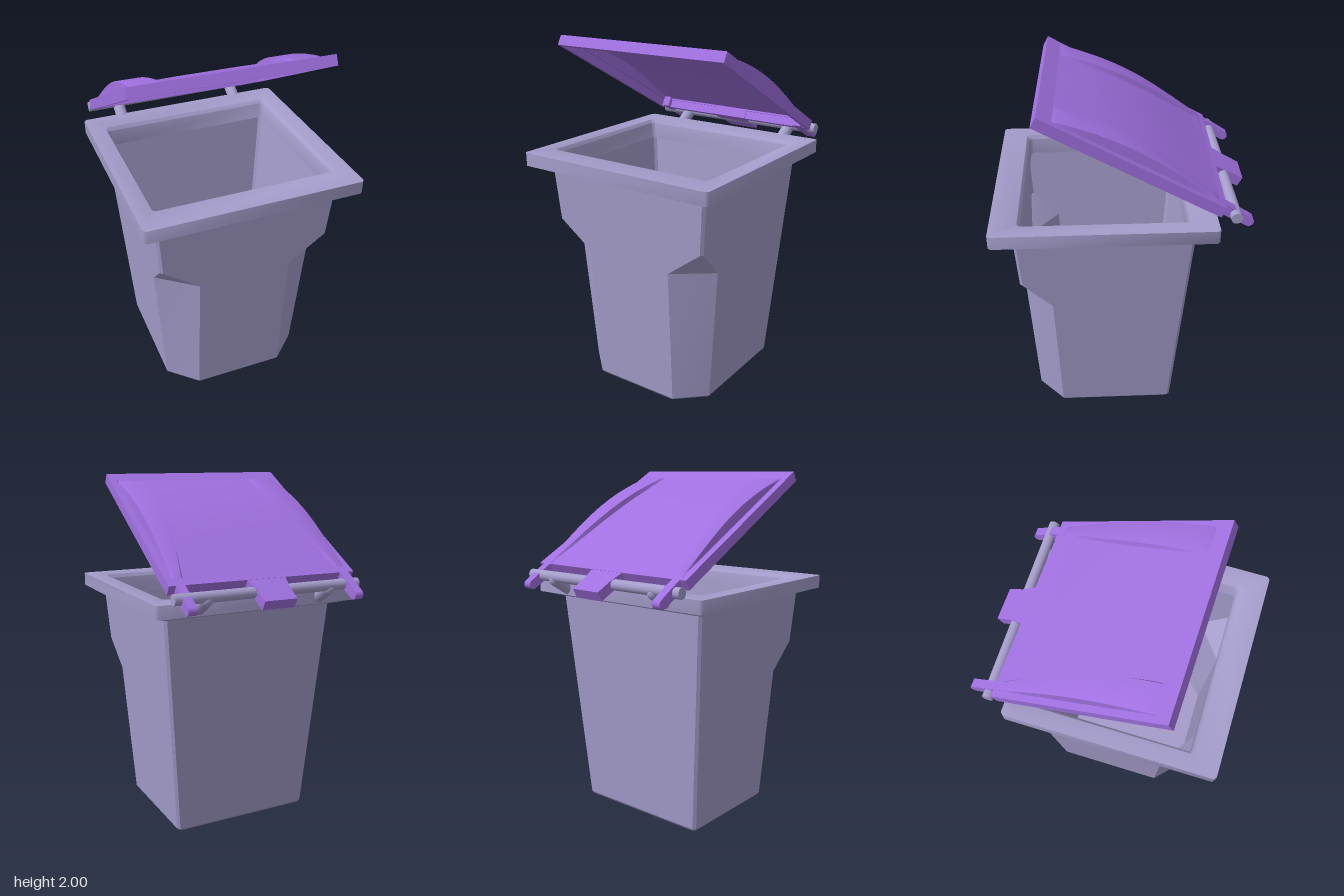
import * as THREE from 'three';
import { toCreasedNormals } from 'three/addons/utils/BufferGeometryUtils.js';
import { ConvexGeometry } from 'three/addons/geometries/ConvexGeometry.js';

const binMat = new THREE.MeshStandardMaterial({ color: 0xa59dcb });
const lidMat = new THREE.MeshStandardMaterial({ color: 0xa070e0 });
const shellMat = new THREE.MeshStandardMaterial({ color: 0xa070e0, side: THREE.DoubleSide });

function add(parent, name, geometry, material) {
  const mesh = new THREE.Mesh(geometry, material);
  mesh.name = name;
  parent.add(mesh);
  return mesh;
}

// Skin rows of points; closed joins the last column to the first
function loft(rows, closed, crease) {
  const n = rows[0].length, index = [];
  for (let r = 0; r < rows.length - 1; r++) {
    for (let i = 0; i < (closed ? n : n - 1); i++) {
      const a = r * n + i, b = r * n + (i + 1) % n;
      index.push(a, b, b + n, a, b + n, a + n);
    }
  }
  const g = new THREE.BufferGeometry();
  g.setAttribute('position', new THREE.Float32BufferAttribute(rows.flat(2), 3));
  g.setIndex(index);
  return toCreasedNormals(g, crease);
}

// Rectangular ring with cut front corners (fx, fz) and small back cuts (b)
function ring(y, hx, zb, zf, fx = 0.015, fz = fx, b = 0.015) {
  const half = [[hx - fx, zf], [hx, zf - fz], [hx, zb + b], [hx - b, zb]];
  const other = half.map(([x, z]) => [-x, z]).reverse();
  return [...half, ...other].map(([x, z]) => [x, y, z]);
}

// Tapered body section at height y, inset by o
function bodyRing(y, fx, fz, o = 0) {
  const k = y / 1.31;
  return ring(y, 0.42 + 0.1 * k - o, -0.3 - 0.09 * k + o, 0.51 + 0.07 * k - o, fx, fz);
}

// Flat slab drawn in x/z, occupying y0..y1
function slab(points, hole, y0, y1) {
  const v = (p) => p.map(([x, z]) => new THREE.Vector2(x, z));
  const shape = new THREE.Shape(v(points));
  if (hole) shape.holes.push(new THREE.Path(v(hole)));
  const g = new THREE.ExtrudeGeometry(shape, { depth: y1 - y0, bevelEnabled: false });
  return g.rotateX(Math.PI / 2).translate(0, y1, 0);
}
const rect = (hx, z0, z1) => [[-hx, z0], [hx, z0], [hx, z1], [-hx, z1]];

function buildBin(root) {
  const bin = new THREE.Group();
  bin.name = 'bin';
  root.add(bin);

  // Hollow body: outside upward, then inside downward
  const point = (y) => Array.from({ length: 8 }, () => [0, y, 0.1]);
  const levels = [[0.015, 0.157, 0.147], [0.82, 0.213, 0.164], [0.98, 0.015, 0.015], [1.31, 0.015, 0.015]];
  const outer = levels.map(([y, fx, fz]) => bodyRing(y, fx, fz));
  const inner = levels.map(([y, fx, fz]) => bodyRing(y + (y < 0.1 ? 0.01 : 0), fx, fz, 0.012)).reverse();
  const rows = [point(0), bodyRing(0, 0.155, 0.145, 0.01), ...outer, ...inner, point(0.025)];
  add(bin, 'body', loft(rows, true, 0.5), binMat);

  // Rim with a sloped inner lip
  add(bin, 'rim', loft([
    ring(1.31, 0.61, -0.5, 0.695),
    ring(1.385, 0.61, -0.5, 0.695),
    ring(1.385, 0.515, -0.365, 0.55),
    ring(1.365, 0.5, -0.35, 0.535),
    ring(1.27, 0.495, -0.345, 0.53),
    ring(1.27, 0.505, -0.375, 0.565),
    ring(1.31, 0.505, -0.375, 0.565),
    ring(1.31, 0.61, -0.5, 0.695),
  ], true, 0.8), binMat);

  // Sloped brace below the back of the rim
  const brace = [];
  for (const s of [-1, 1]) {
    for (const [x, y, z] of [[0.515, 1.275, -0.38], [0.515, 1.312, -0.38], [0.6, 1.312, -0.38], [0.6, 1.312, -0.495]]) {
      brace.push(new THREE.Vector3(s * x, y, z));
    }
  }
  add(bin, 'rimBrace', new ConvexGeometry(brace), binMat);

  // Hinge bar and its two posts
  const bar = add(bin, 'hingeBar', new THREE.CylinderGeometry(0.03, 0.03, 1.11, 24), binMat);
  bar.rotation.z = Math.PI / 2;
  bar.position.set(0, 1.425, -0.585);
  for (const s of [-1, 1]) {
    const post = add(bin, 'hingePost', new THREE.CapsuleGeometry(0.035, 0.12, 6, 20), binMat);
    post.position.set(s * 0.37, 1.375, -0.53);
    post.rotation.x = -1.02;
  }
}

function buildLid(root) {
  const lid = new THREE.Group();
  lid.name = 'lid';
  lid.position.set(0, 1.425, -0.585);
  lid.rotation.set(-0.5, -0.022, 0, 'YXZ');
  root.add(lid);

  // Skirt and top border
  const outline = rect(0.553, 0.065, 1.143);
  add(lid, 'lidSkirt', slab(outline, rect(0.53, 0.095, 1.12), -0.026, 0.025), lidMat);
  add(lid, 'lidBorder', slab(outline, rect(0.515, 0.1, 1.06), 0.023, 0.033), lidMat);

  // Domed panel with two higher arched ridges that widen to the front
  const rows = [];
  for (let r = 0; r <= 28; r++) {
    const t = 1 - r / 28, z = 0.1 + 0.96 * t;
    const arch = Math.sin(Math.PI * Math.pow(t, 1.15));
    const end = r === 0 || r === 28;
    const high = 0.033 + (end ? 0 : 0.006) + 0.052 * arch;
    const mid = 0.033 + 0.03 * arch;
    const edge = 0.465 - 0.113 * (1 - (1 - t) ** 2);
    const half = [[0.515, 0.033], [0.511, high - 0.004], [0.503, high], [edge + 0.008, high], [edge, mid], [0.18, mid + 0.003 * arch]];
    const right = half.map(([x, y]) => [x, y, z]).reverse();
    rows.push([...half.map(([x, y]) => [-x, y, z]), ...right]);
  }
  add(lid, 'lidPanel', loft(rows, false, 0.5), shellMat);

  // Hinge arms with rounded ends
  const side = new THREE.Shape();
  side.moveTo(0.12, -0.026);
  side.lineTo(-0.09, -0.026);
  side.absarc(-0.095, 0, 0.026, -Math.PI / 2, Math.PI / 2, true);
  side.lineTo(0, 0.032);
  side.lineTo(0.12, 0.036);
  for (const s of [-1, 1]) {
    const g = new THREE.ExtrudeGeometry(side, { depth: 0.05, bevelEnabled: false, curveSegments: 10 });
    g.translate(0, 0, -0.025).rotateY(-Math.PI / 2);
    add(lid, 'hingeArm', g, lidMat).position.x = s * 0.49;
  }

  // Central hinge tab, flared towards the lid
  add(lid, 'hingeTab', slab([
    [-0.095, -0.115], [0.095, -0.115], [0.098, -0.02], [0.115, 0.07],
    [0.115, 0.1], [-0.115, 0.1], [-0.115, 0.07], [-0.098, -0.02],
  ], null, -0.026, 0.032), lidMat);
}

export function createModel() {
  const root = new THREE.Group();
  root.name = 'wasteBin';
  buildBin(root);
  buildLid(root);
  return root;
}
